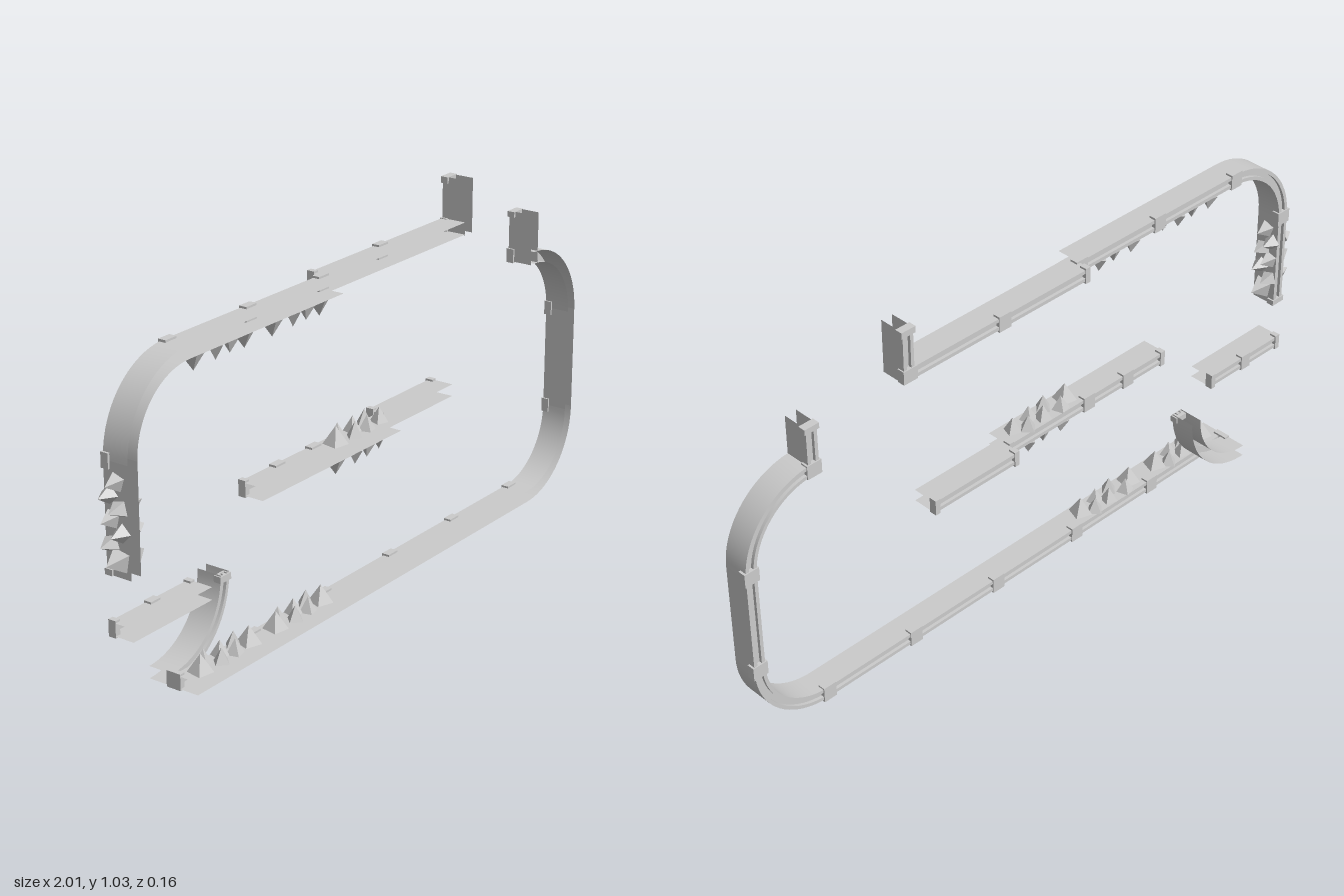
import * as THREE from 'three';

const H = 0.017, R = 0.21, CURVE_STEPS = 20;
const sheetMat = new THREE.MeshStandardMaterial({ color: 0xcccccc, side: THREE.DoubleSide });
const flatMat = new THREE.MeshStandardMaterial({ color: 0xcccccc, flatShading: true });

// Open channel section as [offset across the track, depth]
const SECTION = [
  [H, 0.077], [H, 0.003], [0.007, 0.003], [0.007, 0.012],
  [-0.007, 0.012], [-0.007, 0.003], [-H, 0.003], [-H, 0.077],
];

// Path samples: position and normal direction
function line(x0, y0, x1, y1) {
  const l = Math.hypot(x1 - x0, y1 - y0);
  const nx = -(y1 - y0) / l, ny = (x1 - x0) / l;
  return [{ x: x0, y: y0, nx, ny }, { x: x1, y: y1, nx, ny }];
}
function arc(cx, cy, r, from, to) {
  return Array.from({ length: CURVE_STEPS + 1 }, (_, i) => {
    const a = THREE.MathUtils.degToRad(from + (to - from) * i / CURVE_STEPS);
    const nx = Math.cos(a), ny = Math.sin(a);
    return { x: cx + r * nx, y: cy + r * ny, nx, ny };
  });
}

// Sweep the section along a path; each strip has its own vertices so its edges stay sharp
function sweep(path, z, side) {
  const pos = [], idx = [];
  for (let s = 0; s < SECTION.length - 1; s++) {
    const base = pos.length / 3;
    path.forEach((p, i) => {
      for (const [n, d] of [SECTION[s], SECTION[s + 1]])
        pos.push(p.x + p.nx * n, p.y + p.ny * n, z + side * d);
      if (i > 0) {
        const b = base + 2 * i;
        idx.push(b - 2, b - 1, b, b, b - 1, b + 1);
      }
    });
  }
  const g = new THREE.BufferGeometry();
  g.setAttribute('position', new THREE.Float32BufferAttribute(pos, 3));
  g.setIndex(idx);
  g.computeVertexNormals();
  return g;
}

export function createModel() {
  const model = new THREE.Group();

  const track = (name, path, z = 0, side = 1) => {
    const m = new THREE.Mesh(sweep(path, z, side), sheetMat);
    m.name = name;
    model.add(m);
  };
  const collar = (x, y, w = 0.04, h = 0.045, z = 0, side = 1) => {
    const m = new THREE.Mesh(new THREE.BoxGeometry(w, h, 0.022), flatMat);
    m.position.set(x, y, z + side * 0.011);
    m.name = 'collar';
    model.add(m);
  };
  // Row of pyramids standing on a track face, large one(s) at the ends
  const spikeRow = (x, y, angle, along, bigLast) => {
    const row = new THREE.Group();
    row.name = 'spikeRow';
    const offsets = [0, 0.038, 0.07, 0.1, 0.13, 0.16, 0.195];
    const depths = [0.045, 0.022, 0.055, 0.025, 0.05, 0.02, 0.042];
    offsets.forEach((o, i) => {
      const big = i === 0 || (bigLast && i === 6);
      const h = big ? 0.05 : 0.042;
      const g = new THREE.ConeGeometry(big ? 0.034 : 0.025, h, 4);
      g.rotateY(i * 0.5 + 0.6);
      g.translate(0, h / 2, 0);
      const m = new THREE.Mesh(g, flatMat);
      m.name = 'spike';
      m.position.set(o * along, 0, depths[i]);
      row.add(m);
    });
    row.position.set(x, y, 0);
    row.rotation.z = angle;
    model.add(row);
  };

  const yLow = 0.0225, yMid = 0.445, yTop = 0.892, xLeft = -0.94, xRight = 0.976;
  const back = -0.037;

  // Floor, right side and the short post at its end
  track('floorTrack', line(-0.73, yLow, 0.766, yLow));
  track('lowerRightCurve', arc(0.766, yLow + R, R, -90, 0));
  track('rightTrack', line(xRight, yLow + R, xRight, 0.532));
  track('upperRightCurve', arc(0.766, 0.532, R, 0, 90));
  track('rightPost', line(0.766, 0.725, 0.766, 0.87));
  collar(-0.722, yLow, 0.016);
  for (const x of [-0.43, -0.13, 0.17, 0.468, 0.766]) collar(x, yLow);
  for (const y of [yLow + R, 0.532]) collar(xRight, y, 0.045, 0.04);
  collar(0.766, 0.742, 0.045, 0.04);
  collar(0.766, 0.862, 0.045, 0.016);

  // Left side and ceiling
  track('leftTrack', line(xLeft, 0.395, xLeft, yTop - R));
  track('upperLeftCurve', arc(xLeft + R, yTop - R, R, 180, 90));
  track('ceilingTrack', line(xLeft + R, yTop, -0.13, yTop));
  collar(xLeft, 0.403, 0.045, 0.016);
  collar(xLeft, yTop - R, 0.045, 0.04);
  for (const x of [-0.73, -0.43, -0.138]) collar(x, yTop);

  // Rear half of the ceiling with its upright post
  track('rearCeilingTrack', line(-0.13, yTop, 0.47, yTop), back);
  track('rearPost', line(0.487, 0.873, 0.487, 1.025), back);
  collar(-0.122, yTop, 0.016, 0.045, back);
  collar(0.17, yTop, 0.04, 0.045, back);
  collar(0.485, yTop, 0.045, 0.038, back);
  collar(0.487, 1.017, 0.045, 0.018, back);

  // Middle platform, its right part set further back
  track('middleTrack', line(-0.465, yMid, 0.125, yMid));
  track('rearMiddleTrack', line(0.125, yMid, 0.42, yMid), back);
  for (const x of [-0.322, -0.172]) collar(x, yMid);
  collar(-0.457, yMid, 0.016);
  collar(0.117, yMid, 0.016);
  collar(0.133, yMid, 0.016, 0.045, back);
  collar(0.412, yMid, 0.016, 0.045, back);

  // Small platform
  track('smallTrack', line(-0.957, 0.255, -0.667, 0.255));
  collar(-0.949, 0.255, 0.016);
  collar(-0.812, 0.255, 0.035);
  collar(-0.675, 0.255, 0.016);

  // Curled ramp, facing backwards
  track('curledRamp', arc(-0.73, yLow + R, R, -90, 0), 0, -1);
  collar(-0.52, 0.22, 0.042, 0.018, 0, -1);
  collar(-0.722, yLow, 0.016, 0.045, 0, -1);

  // Spikes on floor, ceiling, middle platform and left side
  for (const x of [-0.68, -0.38]) {
    spikeRow(x, yLow + H, 0, 1, true);
    spikeRow(x, yTop - H, Math.PI, -1, true);
  }
  spikeRow(-0.122, yMid + H, 0, 1, false);
  spikeRow(-0.122, yMid - H, Math.PI, -1, false);
  spikeRow(xLeft - H, 0.44, Math.PI / 2, 1, false);
  spikeRow(xLeft + H, 0.44, -Math.PI / 2, -1, false);

  return model;
}
